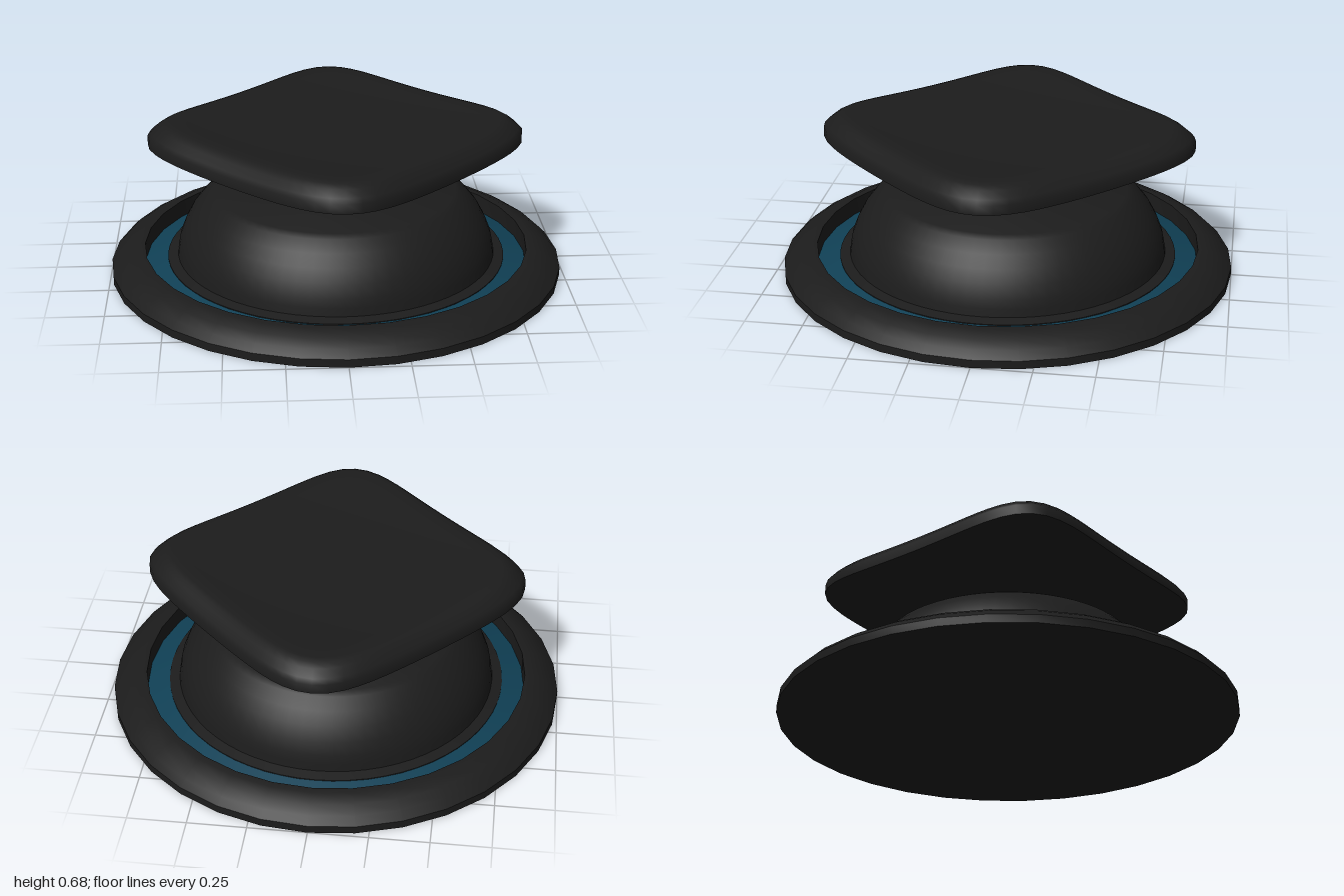
import * as THREE from 'three';
import { toCreasedNormals } from 'three/addons/utils/BufferGeometryUtils.js';

const black = new THREE.MeshStandardMaterial({ color: 0x1c1c1c });
const blue = new THREE.MeshStandardMaterial({ color: 0x104055 });

// Surface of revolution from [radius, height] pairs
function lathe(profile, segments) {
  return new THREE.LatheGeometry(profile.map(([r, y]) => new THREE.Vector2(r, y)), segments);
}

function part(name, geometry, material, crease = 0.75) {
  const mesh = new THREE.Mesh(toCreasedNormals(geometry, crease), material);
  mesh.name = name;
  return mesh;
}

// Rounded square whose corners lie on the x and z axes
function capRadius(angle) {
  const p = 5.3, a = angle + Math.PI / 4;
  return 0.66 / (Math.abs(Math.cos(a)) ** p + Math.abs(Math.sin(a)) ** p) ** (1 / p);
}

function capGeometry() {
  const bottom = [], top = [];
  for (let i = 0; i <= 10; i++) {
    bottom.push([i / 10, 0.53]);
    top.push([0.88 * (1 - i / 10), 0.646]);
  }
  const geometry = lathe([...bottom, [1, 0.572], [0.98, 0.592], [0.94, 0.622], [0.91, 0.638], ...top], 80);
  const pos = geometry.attributes.position;
  for (let i = 0; i < pos.count; i++) {
    const x = pos.getX(i), z = pos.getZ(i);
    const k = capRadius(Math.atan2(z, x));
    // Dish the cap so its four corners rise
    const lift = 0.05 * (Math.hypot(x, z) * k / 0.82) ** 2.2;
    pos.setXYZ(i, x * k, pos.getY(i) + lift, z * k);
  }
  return geometry;
}

export function createModel() {
  const group = new THREE.Group();

  // Base plate with bevelled rim and inner groove wall
  group.add(part('base', lathe([
    [0, 0], [1, 0], [1, 0.035], [0.97, 0.065], [0.93, 0.09], [0.88, 0.11], [0.85, 0.11], [0.85, 0.02],
  ], 32), black));

  // Coloured ring sloping down inside the groove
  group.add(part('grooveRing', lathe([[0.855, 0.03], [0.74, 0.065]], 32), blue));

  // Flat-topped dome with a narrow collar
  group.add(part('dome', lathe([
    [0.75, 0.03], [0.75, 0.065], [0.705, 0.075], [0.7, 0.11], [0.692, 0.15], [0.67, 0.205],
    [0.64, 0.26], [0.6, 0.31], [0.555, 0.355], [0.53, 0.37], [0, 0.37],
  ], 64), black, 0.6));

  // Floating dished cap
  group.add(part('cap', capGeometry(), black, 1.0));

  return group;
}
